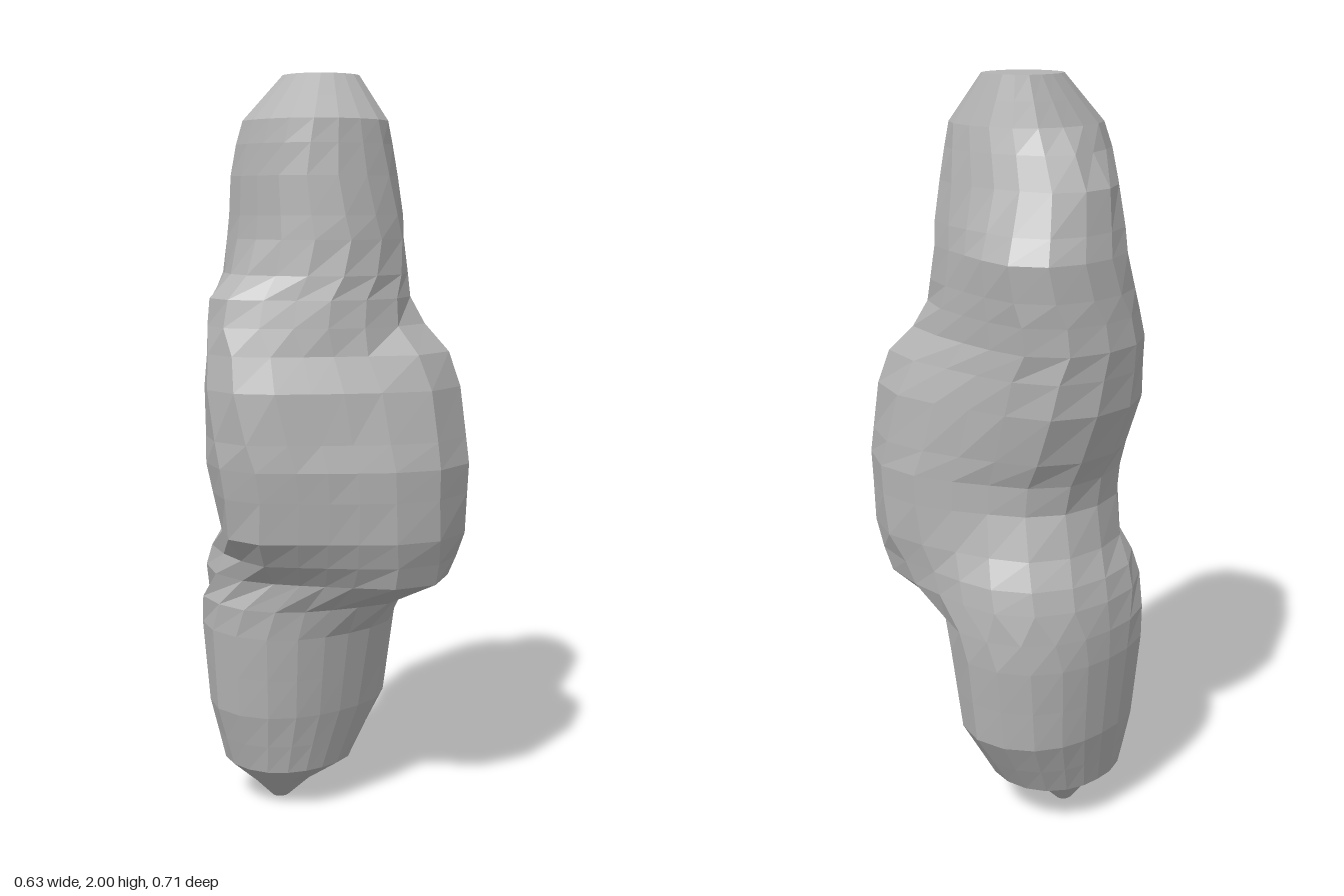
import * as THREE from 'three';

const SIDES = 18;
const TAU = Math.PI * 2;
const soft = (v) => Math.sign(v) * Math.pow(Math.abs(v), 0.86); // slightly boxy oval

// A bulge from rings [y, xMin, xMax, zMin, zMax], bottom to top; skew stretches it along x = z.
// Returns a function giving its oval outline at height y, empty where it does not reach.
function bulge(skew, rings) {
  return (y) => {
    const k = rings.findIndex((ring, i) => i > 0 && y >= rings[i - 1][0] && y <= ring[0]);
    if (k < 0) return [];
    const low = rings[k - 1], high = rings[k];
    const t = (y - low[0]) / (high[0] - low[0]);
    const [, x0, x1, z0, z1] = low.map((v, c) => THREE.MathUtils.lerp(v, high[c], t));
    return Array.from({ length: 24 }, (_, i) => {
      const a = (i / 24) * TAU;
      const s = 0.5 + 0.5 * skew * Math.sin(2 * a);
      return [(x0 + x1) / 2 + s * soft(Math.sin(a)) * (x1 - x0),
        (z0 + z1) / 2 + s * soft(Math.cos(a)) * (z1 - z0)];
    });
  };
}

// Tall core rising to the rounded top
const core = bulge(0.04, [
  [0.6, -0.12, 0.18, -0.2, 0.08],
  [0.78, -0.18, 0.22, -0.25, 0.14],
  [1.0, -0.2, 0.24, -0.265, 0.2],
  [1.35, -0.2, 0.245, -0.29, 0.225],
  [1.64, -0.18, 0.225, -0.26, 0.195],
  [1.78, -0.18, 0.205, -0.24, 0.175],
  [1.88, -0.165, 0.185, -0.2, 0.16],
  [2.0, -0.04, 0.15, -0.14, 0.045],
]);

// Foot tapering to a small blunt tip
const foot = bulge(0.06, [
  [0, -0.04, 0.005, -0.16, -0.12],
  [0.06, -0.1, 0.06, -0.2, -0.06],
  [0.12, -0.165, 0.18, -0.28, 0.015],
  [0.29, -0.21, 0.285, -0.315, 0.055],
  [0.52, -0.228, 0.305, -0.335, 0.09],
  [0.65, -0.228, 0.305, -0.335, 0.115],
  [0.78, -0.2, 0.285, -0.3, 0.12],
  [0.94, -0.05, 0.14, -0.2, 0.04],
]);

const front = bulge(0.05, [
  [0.6, 0.03, 0.21, 0.0, 0.15],
  [0.68, -0.03, 0.28, -0.06, 0.305],
  [0.81, -0.07, 0.31, -0.09, 0.348],
  [1.0, -0.08, 0.315, -0.1, 0.36],
  [1.2, -0.05, 0.295, -0.08, 0.33],
  [1.29, -0.01, 0.265, -0.03, 0.298],
  [1.36, 0.05, 0.22, 0.03, 0.225],
]);

const rightSide = bulge(0, [
  [0.7, -0.2, 0.04, -0.08, 0.09],
  [0.81, -0.285, 0.08, -0.14, 0.14],
  [1.0, -0.315, 0.1, -0.18, 0.16],
  [1.2, -0.32, 0.1, -0.18, 0.15],
  [1.43, -0.285, 0.04, -0.16, 0.05],
  [1.49, -0.22, -0.02, -0.11, 0.01],
]);

const back = bulge(0.05, [
  [0.92, -0.06, 0.16, -0.23, -0.08],
  [1.07, -0.14, 0.225, -0.3, -0.01],
  [1.2, -0.16, 0.25, -0.343, 0.0],
  [1.36, -0.15, 0.255, -0.355, -0.01],
  [1.58, -0.1, 0.28, -0.325, -0.05],
  [1.64, -0.1, 0.245, -0.31, -0.05],
  [1.74, -0.08, 0.19, -0.29, -0.06],
  [1.82, 0.0, 0.15, -0.24, -0.1],
]);

const BULGES = [core, foot, front, rightSide, back];

const LEVELS = [0, 0.06, 0.12, 0.2, 0.29, 0.4, 0.52, 0.6, 0.68, 0.74, 0.81, 0.92, 1.0, 1.07,
  1.2, 1.29, 1.36, 1.43, 1.49, 1.58, 1.64, 1.74, 1.82, 1.88, 1.94, 2.0];

// One ring of the skin: the convex outline around every bulge at height y
function skinRing(y) {
  const points = BULGES.flatMap((outline) => outline(y));
  const xs = points.map((p) => p[0]), zs = points.map((p) => p[1]);
  const cx = (Math.min(...xs) + Math.max(...xs)) / 2;
  const cz = (Math.min(...zs) + Math.max(...zs)) / 2;
  // Farthest reach in each of 72 directions
  const reach = Array.from({ length: 72 }, (_, i) => {
    const a = (i / 72) * TAU;
    return Math.max(...points.map(([x, z]) => (x - cx) * Math.sin(a) + (z - cz) * Math.cos(a)));
  });
  return Array.from({ length: SIDES }, (_, i) => {
    const a = (i / SIDES) * TAU;
    let r = Infinity;
    reach.forEach((h, j) => {
      const c = Math.cos(a - (j / 72) * TAU);
      if (c > 0.1) r = Math.min(r, h / c);
    });
    return [cx + r * Math.sin(a), y, cz + r * Math.cos(a)];
  });
}

export function createModel() {
  const stone = new THREE.MeshStandardMaterial({ color: 0xb4b4b4, flatShading: true });
  stone.name = 'grey stone';

  const index = [];
  const top = (LEVELS.length - 1) * SIDES;
  for (let r = 0; r < top; r += SIDES) {
    for (let i = 0; i < SIDES; i++) {
      const j = (i + 1) % SIDES;
      index.push(r + i, r + j, r + SIDES + j, r + i, r + SIDES + j, r + SIDES + i);
    }
  }
  // Flat end caps
  for (let i = 1; i < SIDES - 1; i++) {
    index.push(0, i + 1, i, top, top + i, top + i + 1);
  }
  const skin = new THREE.BufferGeometry();
  skin.setAttribute('position', new THREE.Float32BufferAttribute(LEVELS.flatMap(skinRing).flat(), 3));
  skin.setIndex(index);
  const geometry = skin.toNonIndexed();
  geometry.computeVertexNormals();

  const body = new THREE.Mesh(geometry, stone);
  body.name = 'stoneBody';
  const model = new THREE.Group();
  model.name = 'lumpyStone';
  model.add(body);
  return model;
}
